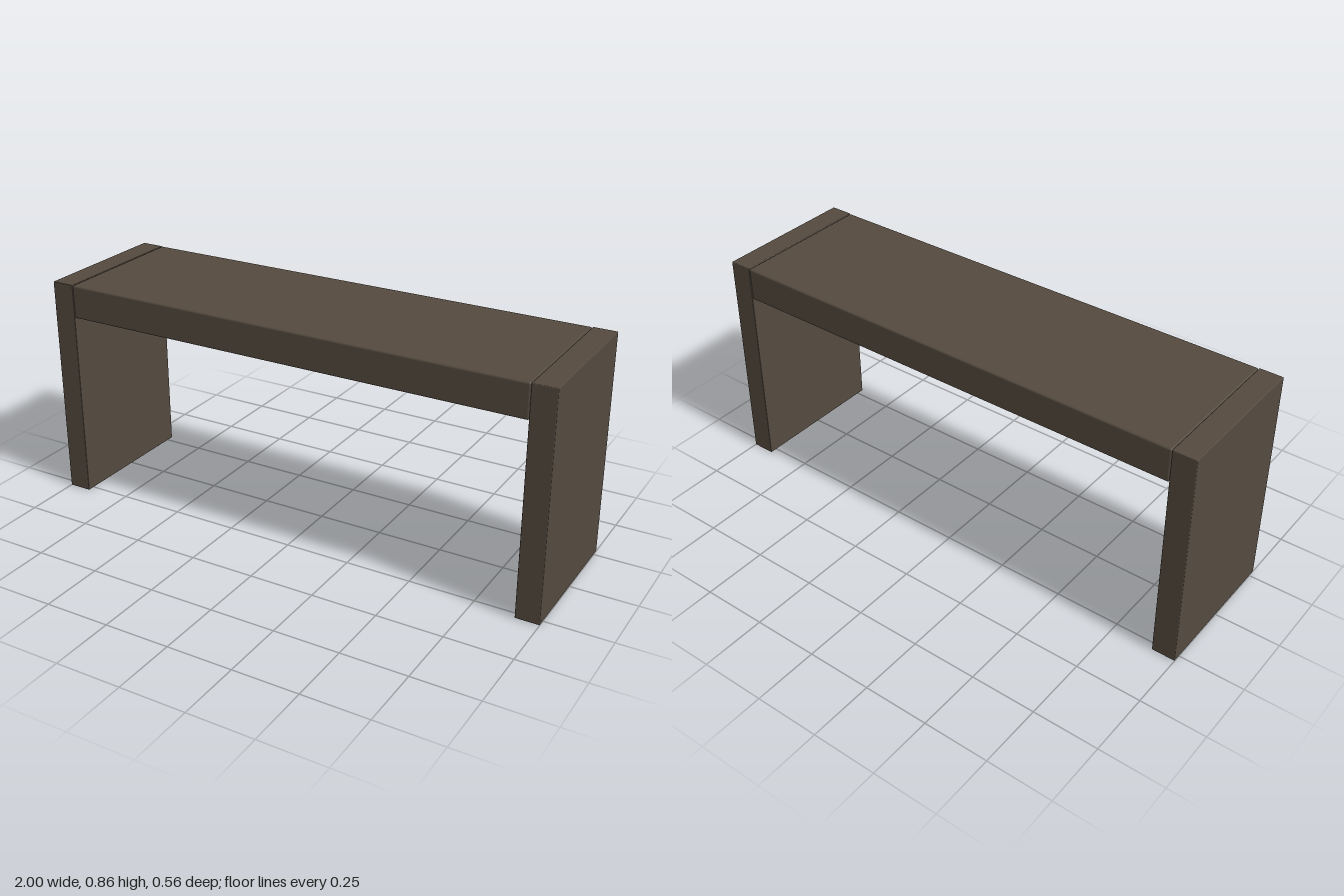
import * as THREE from 'three';
import { RoundedBoxGeometry } from 'three/addons/geometries/RoundedBoxGeometry.js';

export function createModel() {
  const group = new THREE.Group();
  group.name = 'bench';
  const darkWood = new THREE.MeshStandardMaterial({ color: 0x544a3f });
  darkWood.name = 'darkWood';

  const height = 0.86, depth = 0.56, legWidth = 0.09, seatThickness = 0.13;

  // Softly rounded board, placed by its centre
  function board(name, w, h, d, x, y, radius) {
    const mesh = new THREE.Mesh(new RoundedBoxGeometry(w, h, d, 3, radius), darkWood);
    mesh.name = name;
    mesh.position.set(x, y, 0);
    group.add(mesh);
  }

  // Seat slab held between the two legs
  board('seat', 2 - 2 * legWidth, seatThickness, depth, 0, height - seatThickness / 2, 0.008);

  // Full-height slab legs
  for (const [name, side] of [['leftLeg', 1], ['rightLeg', -1]]) {
    board(name, legWidth, height, depth, side * (1 - legWidth / 2), height / 2, 0.003);
  }

  return group;
}
